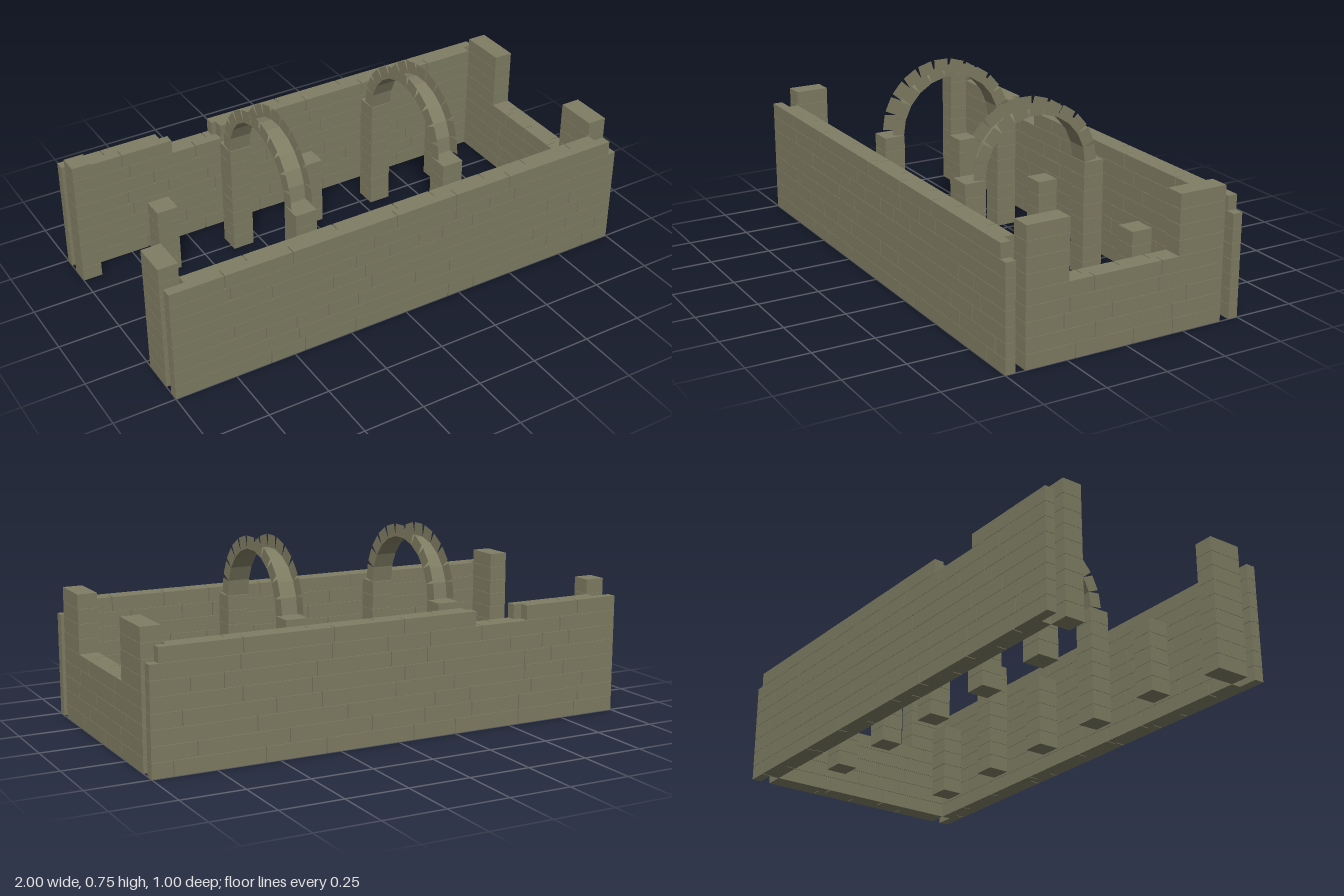
import * as THREE from 'three';
import { mergeGeometries } from 'three/addons/utils/BufferGeometryUtils.js';

const ROW = 0.0594;   // height of one course
const GAP = 0.0012;   // gap between courses
const JOINT = 0.004;  // gap between neighbouring bricks

// visible joints of the front face, from the bottom course up
const FRONT_JOINTS = [
  [-0.6, -0.455, -0.23, 0.2, 0.32, 0.87],
  [-0.48, 0.68, 0.93],
  [-0.62, -0.49, -0.35, -0.22, 0.04, 0.2, 0.61, 0.77],
  [-0.75, -0.16, 0.83],
  [-0.33, -0.19, 0.67, 0.78],
  [-0.59, -0.23, -0.08, 0.05, 0.16, 0.3],
  [-0.76, -0.15, 0.22, 0.38, 0.5],
  [-0.78, -0.5, -0.05, 0.22, 0.47],
];

let seed = 7;
function random() {
  seed = (seed * 16807) % 2147483647;
  return seed / 2147483647;
}

// box given by its limits
function box(x0, x1, y0, y1, z0, z1) {
  return new THREE.BoxGeometry(x1 - x0, y1 - y0, z1 - z0)
    .translate((x0 + x1) / 2, (y0 + y1) / 2, (z0 + z1) / 2);
}

function randomJoints(a, b) {
  const list = [];
  for (let p = a + 0.12 + random() * 0.2; p < b - 0.08; p += 0.12 + random() * 0.28) list.push(p);
  return list;
}

// one course of bricks from a to b along x or z; s0..s1 is its thickness
function course(out, axis, row, a, b, s0, s1, joints = randomJoints(a, b)) {
  const y0 = row * ROW, y1 = y0 + ROW - GAP;
  const cuts = [a, ...joints.filter((j) => j > a && j < b), b];
  for (let i = 0; i + 1 < cuts.length; i++) {
    const p = cuts[i] + (i > 0 ? JOINT / 2 : 0);
    const q = cuts[i + 1] - (i + 2 < cuts.length ? JOINT / 2 : 0);
    out.push(axis === 'x' ? box(p, q, y0, y1, s0, s1) : box(s0, s1, y0, y1, p, q));
  }
}

export function createModel() {
  const model = new THREE.Group();
  const stone = new THREE.MeshStandardMaterial({ color: 0x7f7d63 });
  stone.name = 'stone';
  const thinStone = new THREE.MeshStandardMaterial({ color: 0x7f7d63, side: THREE.DoubleSide });
  thinStone.name = 'stone sheet';

  function add(name, parts, material = stone) {
    const mesh = new THREE.Mesh(mergeGeometries(parts), material);
    mesh.name = name;
    model.add(mesh);
  }

  // stack of blocks
  function stack(x0, x1, z0, z1, rows, firstRow = 0) {
    const out = [];
    for (let r = firstRow; r < rows; r++) {
      out.push(box(x0, x1, r * ROW, (r + 1) * ROW - GAP, z0, z1));
    }
    return out;
  }

  // front wall: two skins, one end brick missing from the top course
  const front = [];
  for (let r = 0; r < 8; r++) {
    course(front, 'x', r, -1, r === 7 ? 0.965 : 1, 0.46, 0.5, FRONT_JOINTS[r]);
    course(front, 'x', r, -0.92, 0.92, 0.42, 0.46);
  }
  add('frontWall', front);

  // back wall: the top course has a broken-out gap
  const back = [];
  for (let r = 0; r < 8; r++) {
    if (r < 7) {
      course(back, 'x', r, -1, 1, -0.5, -0.46);
      course(back, 'x', r, -0.92, 0.92, -0.46, -0.42);
    } else {
      course(back, 'x', r, -1, -0.575, -0.5, -0.46);
      course(back, 'x', r, -0.34, 0.965, -0.5, -0.46);
      course(back, 'x', r, -0.92, -0.54, -0.46, -0.42);
      course(back, 'x', r, -0.32, 0.92, -0.46, -0.42);
    }
  }
  add('backWall', back);

  // end wall: low sill between two posts
  const sill = [];
  for (let r = 0; r < 5; r++) {
    course(sill, 'z', r, -0.42, 0.42, 0.96, 1);
    course(sill, 'z', r, -0.42, 0.42, 0.92, 0.96);
  }
  add('endWallSill', sill);
  add('endPostFront', stack(0.92, 1, 0.245, 0.42, 9, 5));
  add('endPostBack', stack(0.92, 1, -0.42, -0.22, 9, 5));

  // posts of the open end
  add('openEndPostFront', stack(-1, -0.92, 0.28, 0.42, 9));
  add('openEndPostBack', stack(-1, -0.92, -0.42, -0.34, 9));

  // two rows of pillars; those under the arches are taller
  const HALF = 0.045;
  for (let i = -2; i <= 2; i++) {
    const x = i / 3, rows = Math.abs(i) === 1 ? 8 : 5;
    add('pillarFront', stack(x - HALF, x + HALF, 0.22, 0.308, rows));
    add('pillarBack', stack(x - HALF, x + HALF, -0.308, -0.22, rows));
  }

  // arches: a curved soffit with a ring of face stones on each side
  const COUNT = 11, R = 0.22, STEP = Math.PI / COUNT, DEPTH = 0.052;
  const width = 2 * R * Math.tan(STEP / 2);
  for (const x of [-1 / 3, 1 / 3]) {
    const soffit = [], faces = [];
    for (let i = 0; i < COUNT; i++) {
      const turn = (i + 0.5) * STEP - Math.PI / 2;
      const place = (g) => g.rotateX(turn).translate(x, 8 * ROW, 0);
      soffit.push(place(new THREE.PlaneGeometry(2 * HALF, width).rotateX(-Math.PI / 2).translate(0, R, 0)));
      for (const side of [-1, 1]) {
        faces.push(place(new THREE.PlaneGeometry(width, DEPTH)
          .rotateY(side * Math.PI / 2).translate(side * HALF, R + DEPTH / 2, 0)));
      }
    }
    add('archSoffit', soffit, thinStone);
    add('archFaceStones', faces, thinStone);
  }
  return model;
}
